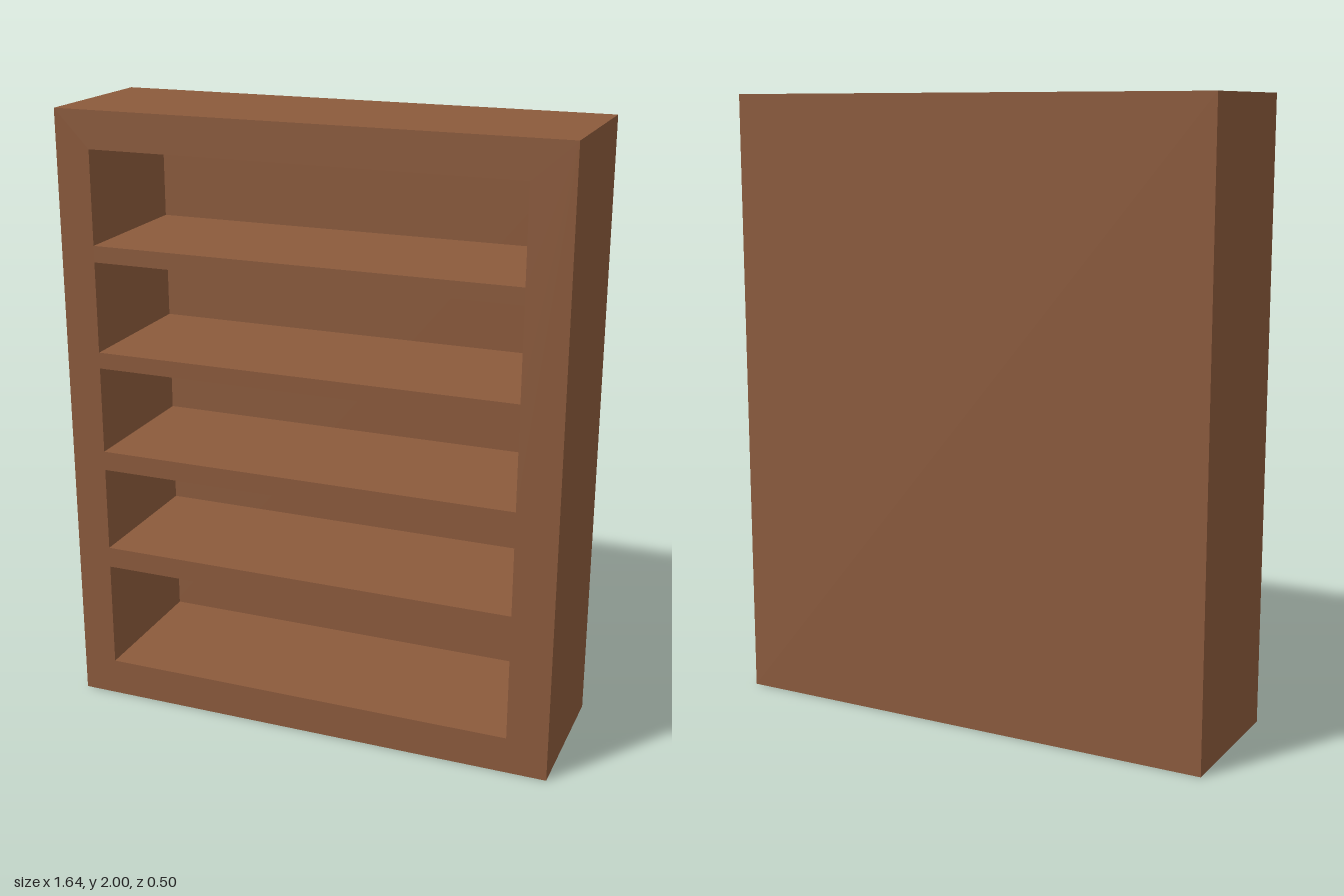
import * as THREE from 'three';

const HALF_W = 0.818, HEIGHT = 2, HALF_D = 0.248, BACK = 0.004;
const LEFT = -0.704, RIGHT = 0.684;
// Bottom and top of each compartment
const BAYS = [[0.122, 0.477], [0.546, 0.826], [0.89, 1.176], [1.229, 1.525], [1.578, 1.88]];

function rectangle(path, x0, y0, x1, y1) {
  path.moveTo(x0, y0);
  path.lineTo(x1, y0);
  path.lineTo(x1, y1);
  path.lineTo(x0, y1);
  path.closePath();
  return path;
}

export function createModel() {
  const group = new THREE.Group();
  group.name = 'bookcase';
  const wood = new THREE.MeshStandardMaterial({ color: 0x8b5a3c });
  wood.name = 'brown wood';

  // Carcass: sides, top, plinth and shelves as one slab with five openings
  const outline = rectangle(new THREE.Shape(), -HALF_W, 0, HALF_W, HEIGHT);
  for (const [bottom, top] of BAYS) {
    outline.holes.push(rectangle(new THREE.Path(), LEFT, bottom, RIGHT, top));
  }
  const carcass = new THREE.Mesh(
    new THREE.ExtrudeGeometry(outline, { depth: 2 * HALF_D - BACK, bevelEnabled: false }), wood);
  carcass.name = 'shelvesAndFrame';
  carcass.position.z = -HALF_D + BACK;
  group.add(carcass);

  // Thin back panel closing the openings
  const back = new THREE.Mesh(new THREE.BoxGeometry(2 * HALF_W, HEIGHT, BACK), wood);
  back.name = 'backPanel';
  back.position.set(0, HEIGHT / 2, -HALF_D + BACK / 2);
  group.add(back);

  return group;
}
